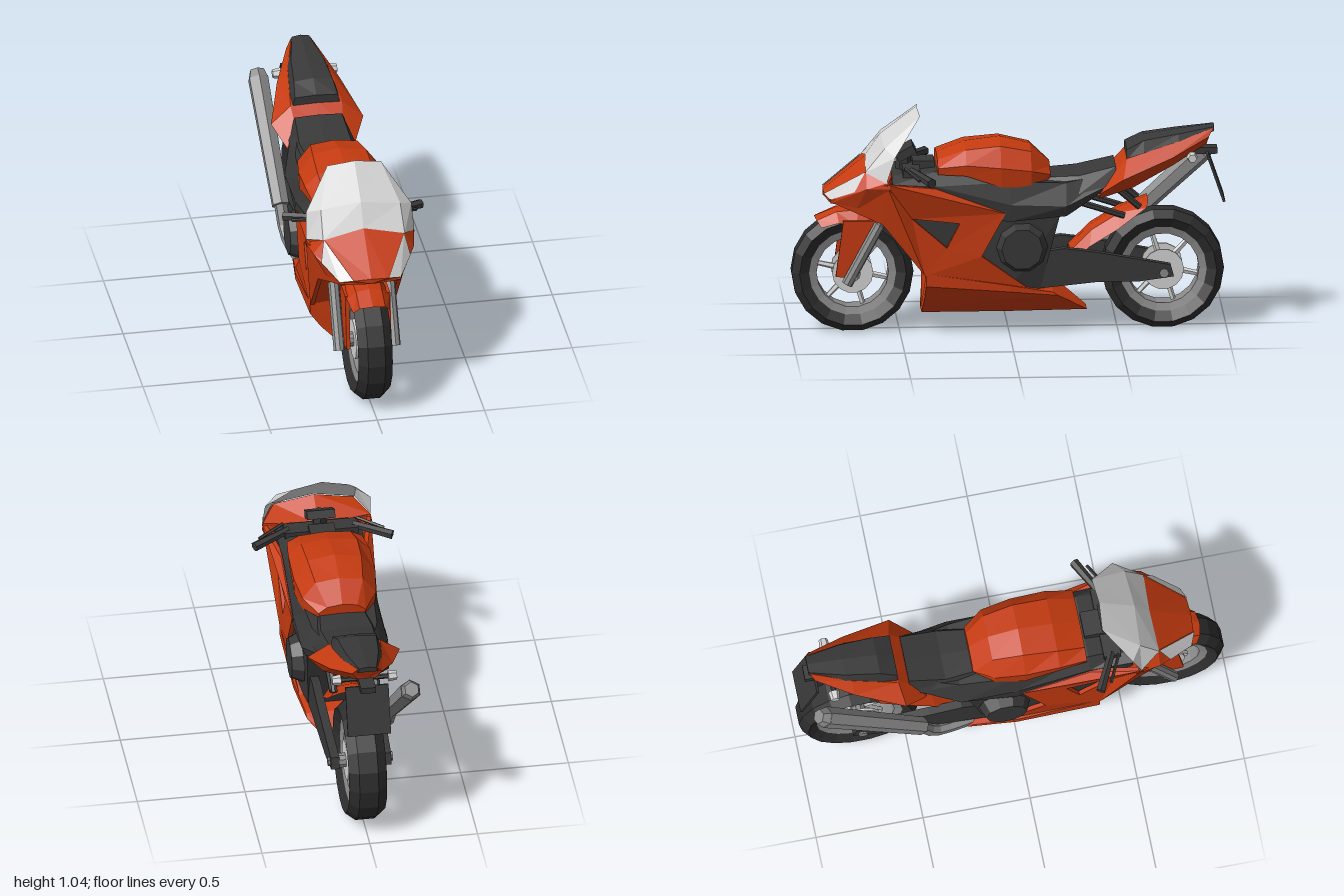
import * as THREE from 'three';

const material = (name, color, extra = {}) =>
  Object.assign(new THREE.MeshStandardMaterial({ color, flatShading: true, ...extra }), { name });

export function createModel() {
  const model = new THREE.Group();
  model.name = 'motorcycle';
  const thin = { side: THREE.DoubleSide };
  const paint = material('orange paint', 0xc63b10, thin);
  const dark = material('dark plastic', 0x383838);
  const rubber = material('tyre rubber', 0x2d2d2d);
  const metal = material('grey metal', 0x8a8a8a);
  const silver = material('light silver', 0xd4d4d4, thin);

  const add = (name, geometry, mat, parent = model) => {
    const mesh = new THREE.Mesh(geometry, mat);
    mesh.name = name;
    parent.add(mesh);
    return mesh;
  };
  const fromTriangles = (tris) => {
    const g = new THREE.BufferGeometry();
    g.setAttribute('position', new THREE.Float32BufferAttribute(tris.flat(2), 3));
    g.computeVertexNormals();
    return g;
  };
  const mirrorX = ([x, y, z]) => [-x, y, z];

  // Solid through half sections [x, y, z] (bottom to top), listed front to back
  const loft = (name, mat, halves) => {
    const rings = halves.map((h) => [...h, ...h.filter((p) => p[0] > 0).reverse().map(mirrorX)]);
    const n = rings[0].length, tris = [];
    for (let k = 0; k + 1 < rings.length; k++) {
      for (let i = 0; i < n; i++) {
        const j = (i + 1) % n, a = rings[k], b = rings[k + 1];
        tris.push([a[i], b[i], b[j]], [a[i], b[j], a[j]]);
      }
    }
    const first = rings[0], last = rings[rings.length - 1];
    for (let i = 1; i + 1 < n; i++) {
      tris.push([first[0], first[i], first[i + 1]], [last[0], last[i + 1], last[i]]);
    }
    return add(name, fromTriangles(tris), mat);
  };
  // Same, with each section given as z and [x, y] points
  const loftZ = (name, mat, list) =>
    loft(name, mat, list.map(([z, ...pts]) => pts.map(([x, y]) => [x, y, z])));

  // Open mirrored surface through rows of points running from the centre outwards
  const sheet = (name, mat, halves) => {
    const rows = halves.map((h) => [...h.slice(1).reverse().map(mirrorX), ...h]);
    const tris = [];
    for (let k = 0; k + 1 < rows.length; k++) {
      for (let i = 0; i + 1 < rows[k].length; i++) {
        const [a, b, c, d] = [rows[k][i], rows[k][i + 1], rows[k + 1][i + 1], rows[k + 1][i]];
        tris.push([a, b, c], [a, c, d]);
      }
    }
    return add(name, fromTriangles(tris), mat);
  };

  // Pair of side panels from an outline of [z, y, x] points
  const sidePanels = (name, mat, outline, thickness, hole = []) => {
    const toV2 = (list) => list.map(([z, y]) => new THREE.Vector2(z, y));
    const shape = new THREE.Shape(toV2(outline));
    if (hole.length) shape.holes.push(new THREE.Path(toV2(hole)));
    const all = [...outline, ...hole];
    for (const s of [1, -1]) {
      const src = new THREE.ExtrudeGeometry(shape, { depth: thickness, bevelEnabled: false });
      const p = src.attributes.position, pts = [];
      for (let i = 0; i < p.count; i++) {
        const z = p.getX(i), y = p.getY(i);
        const near = all.find((q) => Math.hypot(q[0] - z, q[1] - y) < 1e-4);
        pts.push([s * (near[2] - thickness + p.getZ(i)), y, z]);
      }
      const tris = [];
      for (let i = 0; i < pts.length; i += 3) {
        tris.push(s > 0 ? [pts[i], pts[i + 2], pts[i + 1]] : [pts[i], pts[i + 1], pts[i + 2]]);
      }
      add(name, fromTriangles(tris), mat);
    }
  };

  const rod = (name, mat, a, b, r, sides = 8, r2 = r, parent = model) => {
    const from = new THREE.Vector3(...a), to = new THREE.Vector3(...b);
    const dir = to.clone().sub(from);
    const mesh = add(name, new THREE.CylinderGeometry(r2, r, dir.length(), sides), mat, parent);
    mesh.position.copy(from).lerp(to, 0.5);
    mesh.quaternion.setFromUnitVectors(new THREE.Vector3(0, 1, 0), dir.normalize());
    return mesh;
  };
  const rodPair = (name, mat, a, b, ...rest) => {
    rod(name, mat, a, b, ...rest);
    rod(name, mat, mirrorX(a), mirrorX(b), ...rest);
  };
  const box = (name, mat, size, pos, tilt = 0) => {
    const mesh = add(name, new THREE.BoxGeometry(...size), mat);
    mesh.position.set(...pos);
    mesh.rotation.x = tilt;
  };

  // Wheels
  const lathe = (pts) => new THREE.LatheGeometry(pts.map(([r, x]) => new THREE.Vector2(r, x)), 18)
    .rotateZ(Math.PI / 2);
  const wheel = (name, z, width) => {
    const g = new THREE.Group();
    g.name = name;
    g.position.set(0, 0.287, z);
    g.scale.x = width;
    model.add(g);
    add('tyre', lathe([[0.2, -0.055], [0.245, -0.08], [0.28, -0.04], [0.28, 0.04], [0.245, 0.08], [0.2, 0.055]]), rubber, g);
    add('rim', lathe([[0.165, -0.045], [0.207, -0.056], [0.207, 0.056], [0.165, 0.045], [0.165, -0.045]]), metal, g);
    rod('hub', metal, [-0.09, 0, 0], [0.09, 0, 0], 0.035, 10, 0.035, g);
    for (const s of [-1, 1]) rod('brakeDisc', silver, [s * 0.05, 0, 0], [s * 0.062, 0, 0], 0.095, 14, 0.095, g);
    for (let i = 0; i < 6; i++) {
      const a = (i / 6) * Math.PI * 2 + 0.3, c = Math.cos(a), s = Math.sin(a);
      rod('spoke', silver, [0, c * 0.03, s * 0.03], [0, c * 0.18, s * 0.18], 0.016, 5, 0.012, g);
    }
  };
  wheel('frontWheel', 0.715, 1);
  wheel('rearWheel', -0.71, 1.1);

  // Fork and front mudguard
  rodPair('forkLower', metal, [0.13, 0.25, 0.745], [0.13, 0.53, 0.595], 0.026);
  rodPair('forkUpper', metal, [0.13, 0.53, 0.595], [0.13, 0.77, 0.465], 0.02);
  rod('frontAxle', metal, [-0.145, 0.287, 0.715], [0.145, 0.287, 0.715], 0.022);
  sheet('frontMudguard', paint, [
    [[0, 0.545, 0.89], [0.06, 0.535, 0.88], [0.085, 0.505, 0.86]],
    [[0, 0.585, 0.79], [0.06, 0.575, 0.79], [0.1, 0.53, 0.78]],
    [[0, 0.595, 0.7], [0.065, 0.585, 0.69], [0.105, 0.52, 0.7]],
    [[0, 0.585, 0.6], [0.06, 0.565, 0.59], [0.1, 0.51, 0.6]]]);
  sidePanels('mudguardLeg', paint,
    [[0.76, 0.54, 0.105], [0.61, 0.54, 0.105], [0.73, 0.27, 0.105], [0.795, 0.28, 0.105]], 0.018);

  // Nose, headlights and windscreen
  loft('noseFairing', paint, [
    [[0, 0.645, 0.85], [0.14, 0.635, 0.82], [0.14, 0.65, 0.82], [0.08, 0.665, 0.845], [0, 0.67, 0.85]],
    [[0, 0.61, 0.7], [0.18, 0.62, 0.7], [0.235, 0.72, 0.66], [0.185, 0.79, 0.66], [0, 0.83, 0.65]],
    [[0, 0.62, 0.54], [0.2, 0.64, 0.52], [0.255, 0.725, 0.55], [0.25, 0.755, 0.56], [0, 0.75, 0.52]]]);
  for (const s of [1, -1]) {
    const [a, b, c, d] = [[0.14, 0.65, 0.82], [0.205, 0.699, 0.71], [0.185, 0.79, 0.66], [0.08, 0.665, 0.845]]
      .map(([x, y, z]) => [s * (x + 0.003), y + 0.003, z + 0.004]);
    add('headlight', fromTriangles(s > 0 ? [[a, b, c], [a, c, d]] : [[a, c, b], [a, d, c]]), silver);
  }
  sheet('windscreen', silver, [
    [[0, 0.83, 0.655], [0.19, 0.79, 0.664], [0.252, 0.75, 0.57]],
    [[0, 0.93, 0.585], [0.185, 0.9, 0.575], [0.245, 0.87, 0.53]],
    [[0, 1.055, 0.42], [0.125, 1.035, 0.41], [0.19, 0.945, 0.475]]]);

  // Handlebars and dash
  box('dash', dark, [0.13, 0.04, 0.09], [0, 0.845, 0.47], 0.5);
  rod('dashStem', dark, [0, 0.72, 0.48], [0, 0.85, 0.48], 0.035, 6);
  box('forkClamp', dark, [0.34, 0.035, 0.08], [0, 0.775, 0.45]);
  box('steeringHead', dark, [0.12, 0.06, 0.1], [0, 0.78, 0.39]);
  rodPair('grip', dark, [0.15, 0.785, 0.45], [0.32, 0.765, 0.365], 0.018, 6, 0.023);
  rodPair('lever', dark, [0.17, 0.8, 0.48], [0.29, 0.77, 0.42], 0.008, 5);

  // Side fairing, inner fairing and belly pan
  sidePanels('sideFairing', paint, [
    [0.83, 0.645, 0.14], [0.57, 0.745, 0.253], [0.34, 0.71, 0.2], [0.02, 0.59, 0.2], [0.13, 0.39, 0.205],
    [-0.1, 0.22, 0.18], [0.39, 0.3, 0.2], [0.585, 0.545, 0.2]], 0.02,
  [[0.45, 0.57, 0.2], [0.29, 0.43, 0.2], [0.23, 0.545, 0.2]]);
  sheet('innerFairing', paint, [
    [[0, 0.63, 0.52], [0.195, 0.63, 0.56]],
    [[0, 0.3, 0.37], [0.195, 0.3, 0.385]]]);
  loft('bellyPan', paint, [
    [[0, 0.1, 0.4], [0.07, 0.1, 0.4], [0.15, 0.18, 0.39], [0.2, 0.25, 0.385], [0.2, 0.31, 0.385], [0, 0.31, 0.38]],
    [[0, 0.1, 0], [0.07, 0.1, 0], [0.17, 0.185, 0], [0.198, 0.22, 0], [0.198, 0.25, 0], [0, 0.25, 0]],
    [[0, 0.1, -0.36], [0.05, 0.1, -0.36], [0.14, 0.17, -0.26], [0.17, 0.195, -0.22], [0.17, 0.21, -0.2], [0, 0.21, -0.2]]]);

  // Engine and frame
  loft('engine', dark, [
    [[0, 0.28, 0.34], [0.165, 0.28, 0.34], [0.17, 0.62, 0.47], [0, 0.62, 0.47]],
    [[0, 0.23, 0], [0.18, 0.23, 0], [0.18, 0.6, 0], [0, 0.6, 0]],
    [[0, 0.22, -0.14], [0.15, 0.22, -0.14], [0.17, 0.57, -0.23], [0, 0.57, -0.23]]]);
  rodPair('engineCover', dark, [0.17, 0.425, -0.055], [0.226, 0.425, -0.055], 0.12, 10, 0.095);
  loftZ('frame', dark, [
    [0.54, [0, 0.64], [0.19, 0.66], [0.2, 0.73], [0.14, 0.76], [0, 0.76]],
    [0.34, [0, 0.6], [0.185, 0.6], [0.195, 0.72], [0.15, 0.78], [0, 0.78]],
    [0, [0, 0.55], [0.195, 0.55], [0.2, 0.63], [0.17, 0.73], [0, 0.73]],
    [-0.26, [0, 0.57], [0.18, 0.57], [0.2, 0.62], [0.15, 0.72], [0, 0.72]],
    [-0.45, [0, 0.67], [0.11, 0.68], [0.14, 0.7], [0.1, 0.75], [0, 0.75]]]);

  // Tank and seats
  loftZ('tank', paint, [
    [0.33, [0, 0.76], [0.17, 0.77], [0.175, 0.8], [0.12, 0.83], [0, 0.84]],
    [0.2, [0, 0.74], [0.185, 0.765], [0.19, 0.815], [0.13, 0.875], [0, 0.89]],
    [0.04, [0, 0.7], [0.185, 0.71], [0.19, 0.8], [0.125, 0.89], [0, 0.91]],
    [-0.1, [0, 0.7], [0.165, 0.705], [0.17, 0.78], [0.11, 0.86], [0, 0.875]],
    [-0.19, [0, 0.72], [0.1, 0.725], [0.11, 0.75], [0.07, 0.78], [0, 0.79]]]);
  loftZ('riderSeat', dark, [
    [-0.15, [0, 0.66], [0.14, 0.67], [0.1, 0.735], [0, 0.74]],
    [-0.32, [0, 0.66], [0.165, 0.67], [0.12, 0.745], [0, 0.75]],
    [-0.49, [0, 0.7], [0.14, 0.71], [0.11, 0.785], [0, 0.79]]]);
  loft('tailFairing', paint, [
    [[0, 0.66, -0.42], [0.14, 0.64, -0.41], [0.16, 0.67, -0.42], [0.11, 0.74, -0.46], [0, 0.76, -0.48]],
    [[0, 0.69, -0.58], [0.15, 0.69, -0.56], [0.215, 0.745, -0.52], [0.12, 0.82, -0.54], [0, 0.835, -0.55]],
    [[0, 0.77, -0.75], [0.09, 0.78, -0.75], [0.145, 0.83, -0.75], [0.095, 0.885, -0.75], [0, 0.89, -0.75]],
    [[0, 0.87, -0.91], [0.04, 0.87, -0.91], [0.07, 0.91, -0.92], [0.045, 0.945, -0.94], [0, 0.945, -0.94]]]);
  loftZ('pillionSeat', dark, [
    [-0.54, [0, 0.81], [0.11, 0.815], [0.1, 0.86], [0, 0.865]],
    [-0.62, [0, 0.84], [0.11, 0.845], [0.09, 0.9], [0, 0.91]],
    [-0.78, [0, 0.88], [0.095, 0.88], [0.075, 0.925], [0, 0.935]],
    [-0.945, [0, 0.93], [0.045, 0.93], [0.04, 0.95], [0, 0.957]]]);

  // Tail bracket, plate and indicators
  box('tailBracket', dark, [0.07, 0.03, 0.18], [0, 0.835, -0.87]);
  box('numberPlate', dark, [0.2, 0.235, 0.012], [0, 0.72, -0.95], 0.33);
  rod('indicatorBar', dark, [-0.12, 0.825, -0.84], [0.12, 0.825, -0.84], 0.012, 6);
  rodPair('indicator', silver, [0.11, 0.825, -0.84], [0.15, 0.825, -0.84], 0.026, 6, 0.02);

  // Swingarm, subframe and rear mudguard
  sidePanels('swingarm', dark, [
    [-0.05, 0.38, 0.15], [-0.25, 0.41, 0.15], [-0.4, 0.39, 0.15], [-0.74, 0.325, 0.14],
    [-0.755, 0.27, 0.14], [-0.6, 0.25, 0.145], [-0.4, 0.25, 0.15], [-0.1, 0.22, 0.15]], 0.04);
  rod('rearAxle', metal, [-0.15, 0.287, -0.71], [0.15, 0.287, -0.71], 0.022);
  rodPair('subframeStrut', dark, [0.1, 0.63, -0.28], [0.1, 0.55, -0.53], 0.015, 6);
  rodPair('tailStrut', dark, [0.1, 0.71, -0.46], [0.1, 0.59, -0.6], 0.015, 6);
  sheet('rearMudguard', paint, [[-0.28, 0.39], [-0.38, 0.49], [-0.51, 0.57], [-0.64, 0.62]]
    .map(([z, y], i) => [[0, y, z], [0.08, y - 0.01, z], [0.12, y - (i === 3 ? 0.03 : 0.08), z + 0.01]]));

  // Exhaust on one side
  const pipe = new THREE.CatmullRomCurve3([[-0.1, 0.18, -0.08], [-0.14, 0.2, -0.24], [-0.17, 0.24, -0.38], [-0.185, 0.38, -0.46]]
    .map((p) => new THREE.Vector3(...p)));
  add('exhaustPipe', new THREE.TubeGeometry(pipe, 8, 0.03, 6), metal);
  rod('muffler', metal, [-0.185, 0.36, -0.44], [-0.205, 0.775, -0.9], 0.042, 6, 0.05);
  rod('mufflerTip', metal, [-0.205, 0.77, -0.895], [-0.206, 0.8, -0.93], 0.05, 6, 0.035);
  return model;
}
